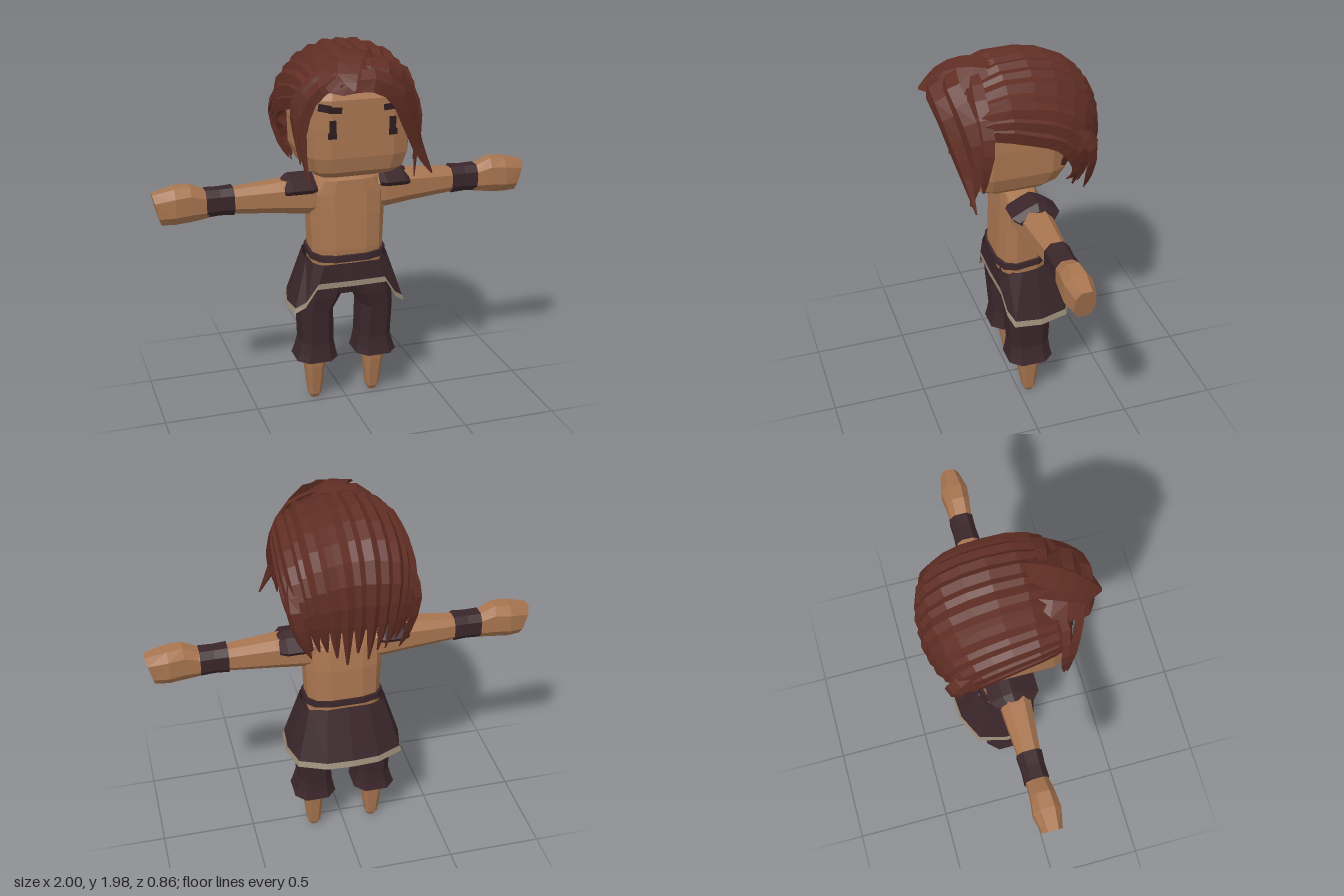
import * as THREE from 'three';

const V = (x, y, z) => new THREE.Vector3(x, y, z);
const mat = (name, color, side = THREE.FrontSide) => {
  const m = new THREE.MeshStandardMaterial({ color, side });
  m.name = name;
  return m;
};

// Faceted skin over a list of cross-sections; closed ones are turned outward by signed volume
function loft(rings, closed = true) {
  const tris = [], n = rings[0].length;
  for (let r = 0; r + 1 < rings.length; r++)
    for (let i = 0; i < (closed ? n : n - 1); i++) {
      const j = (i + 1) % n, a = rings[r], b = rings[r + 1];
      tris.push([a[i], a[j], b[j]], [a[i], b[j], b[i]]);
    }
  if (closed) {
    for (const [ring, flip] of [[rings[0], true], [rings[rings.length - 1], false]]) {
      const c = ring.reduce((s, p) => s.add(p), V(0, 0, 0)).divideScalar(n);
      ring.forEach((p, i) => {
        const q = ring[(i + 1) % n];
        tris.push(flip ? [c, q, p] : [c, p, q]);
      });
    }
    const o = rings[0][0];
    const vol = tris.reduce((s, [a, b, c]) =>
      s + a.clone().sub(o).dot(b.clone().sub(o).cross(c.clone().sub(o))), 0);
    if (vol < 0) tris.forEach(t => t.reverse());
  }
  const g = new THREE.BufferGeometry().setFromPoints(tris.flat());
  g.computeVertexNormals();
  return g;
}

// Rounded-square outline: unit points for n sides
function outline(n, e) {
  const k = Math.cos(Math.PI / n) ** e;
  return Array.from({ length: n }, (_, i) => {
    const a = (i + 0.5) * 2 * Math.PI / n, f = v => Math.sign(v) * Math.abs(v) ** e / k;
    return [f(Math.cos(a)), f(Math.sin(a))];
  });
}
// Horizontal section [y, centre x, half width, front z, back z], optionally rising to the back
const ringY = (n, e, tilt = 0) => ([y, cx, hx, zf, zb]) => outline(n, e).map(([u, v]) => {
  const z = (zf + zb) / 2 + v * (zf - zb) / 2;
  return V(cx + u * hx, y + tilt * (zf - z), z);
});
// Section across an arm [x, bottom y, top y, back z, front z, slant]
const ringX = s => ([x, y0, y1, z0, z1, slant = 0]) => outline(8, 0.75).map(([u, v]) => {
  const dy = v * (y1 - y0) / 2;
  return V(s * (x + slant * dy), (y0 + y1) / 2 + dy, (z0 + z1) / 2 + u * (z1 - z0) / 2);
});

export function createModel() {
  const root = new THREE.Group();
  root.name = 'figure';
  const skin = mat('skin', 0xa87550);
  const hair = mat('hair', 0x602e24, THREE.DoubleSide);
  const cloth = mat('darkCloth', 0x3a262a, THREE.DoubleSide);
  const trimMat = mat('trim', 0x978a76, THREE.DoubleSide);
  const ink = mat('eyeDark', 0x2e1d1f);
  const add = (name, g, m, parent = root) => {
    const mesh = new THREE.Mesh(g, m);
    mesh.name = name;
    parent.add(mesh);
    return mesh;
  };

  // Head and body
  add('head', loft([
    [1.305, 0, 0.13, 0.1, -0.1], [1.335, 0, 0.2, 0.2, -0.16], [1.375, 0, 0.245, 0.255, -0.2],
    [1.45, 0, 0.272, 0.27, -0.24], [1.6, 0, 0.275, 0.27, -0.25], [1.74, 0, 0.265, 0.268, -0.25],
    [1.81, 0, 0.23, 0.225, -0.22], [1.87, 0, 0.15, 0.13, -0.14],
  ].map(ringY(12, 0.4))), skin);
  add('torso', loft([
    [0.8, 0, 0.19, 0.09, -0.165], [0.9, 0, 0.192, 0.095, -0.165], [1.08, 0, 0.2, 0.085, -0.155],
    [1.2, 0, 0.205, 0.075, -0.135], [1.27, 0, 0.16, 0.07, -0.11], [1.29, 0, 0.08, 0.05, -0.09],
    [1.33, 0, 0.075, 0.045, -0.085],
  ].map(ringY(12, 0.65))), skin);

  // Eyes and brows
  for (const s of [-1, 1]) {
    const plate = (name, w, h, x, y, z, turn, tilt) => {
      const m = add(name, new THREE.BoxGeometry(w, h, 0.009), ink);
      m.position.set(s * x, y, z);
      m.rotation.set(0, s * turn, s * tilt);
    };
    plate('eye', 0.032, 0.09, 0.153, 1.6, 0.271, 0.08, 0);
    plate('lowerEye', 0.042, 0.03, 0.155, 1.568, 0.271, 0.12, 0);
    plate('brow', 0.065, 0.03, 0.14, 1.695, 0.271, 0, 0.08);
    plate('browEnd', 0.065, 0.036, 0.19, 1.705, 0.259, 0.41, 0.15);
  }

  // Arms, hands, wristbands, shoulder pads and legs
  for (const s of [-1, 1]) {
    const side = s > 0 ? 'left' : 'right';
    add(side + 'Arm', loft([
      [0.1, 1.09, 1.265, -0.12, 0.05], [0.21, 1.09, 1.275, -0.12, 0.05], [0.35, 1.105, 1.27, -0.115, 0.035],
      [0.6, 1.125, 1.25, -0.1, 0.01], [0.74, 1.13, 1.25, -0.1, 0.01],
    ].map(ringX(s))), skin);
    add(side + 'Hand', loft([
      [0.72, 1.115, 1.25, -0.095, 0.01], [0.81, 1.105, 1.29, -0.1, 0.022],
      [0.89, 1.1, 1.285, -0.11, 0.03], [0.98, 1.1, 1.26, -0.09, 0.01, 0.25],
    ].map(ringX(s))), skin);
    add(side + 'Wristband', loft([
      [0.59, 1.118, 1.262, -0.108, 0.018], [0.66, 1.122, 1.258, -0.104, 0.014], [0.732, 1.118, 1.26, -0.106, 0.016],
    ].map(ringX(s))), cloth);

    const pad = [[0.085, 1.24], [0, 1.285], [-0.05, 1.305], [-0.1, 1.285], [-0.165, 1.235],
      [-0.15, 1.212], [-0.05, 1.255], [0.065, 1.215]];
    add(side + 'ShoulderPad', loft([[0.17, 0.85, -0.005], [0.2, 1, 0], [0.3, 1, 0], [0.335, 0.75, -0.018]]
      .map(([x, k, dy]) => pad.map(([z, y]) => V(s * x, 1.265 + (y - 1.265) * k + dy, -0.04 + (z + 0.04) * k)))), cloth);

    add(side + 'TrouserLeg', loft([
      [0.72, s * 0.118, 0.108, 0.08, -0.165], [0.63, s * 0.14, 0.105, 0.08, -0.165],
      [0.55, s * 0.166, 0.087, 0.07, -0.16], [0.36, s * 0.16, 0.087, 0.055, -0.155],
      [0.3, s * 0.163, 0.1, 0.062, -0.162], [0.26, s * 0.165, 0.112, 0.07, -0.172],
    ].map(ringY(8, 0.7))), cloth);
    add(side + 'Foot', loft([
      [0.3, s * 0.166, 0.06, 0.015, -0.12], [0.2, s * 0.166, 0.053, 0.005, -0.11],
      [0.025, s * 0.165, 0.034, -0.025, -0.09], [0, s * 0.165, 0.02, -0.04, -0.08],
    ].map(ringY(8, 0.7))), skin);
  }
  add('trouserHips', loft([
    [0.82, 0, 0.195, 0.085, -0.165], [0.72, 0, 0.215, 0.085, -0.17], [0.645, 0, 0.14, 0.06, -0.14],
  ].map(ringY(8, 0.7))), cloth);

  // Belt and open-fronted skirt with a pale hem: [top x, y, z, hem x, y, z] from front to back
  add('belt', loft([
    [0.838, 0, 0.205, 0.108, -0.18], [0.872, 0, 0.205, 0.106, -0.178],
  ].map(ringY(12, 0.65, 0.13))), cloth);
  const half = [
    [0, 0.83, 0.105, 0, 0.7, 0.11], [0.15, 0.83, 0.102, 0.19, 0.7, 0.105],
    [0.2, 0.835, 0.07, 0.25, 0.6, 0.09], [0.22, 0.84, 0, 0.305, 0.56, 0.065],
    [0.22, 0.85, -0.08, 0.315, 0.552, -0.08], [0.2, 0.86, -0.15, 0.28, 0.56, -0.23],
    [0.11, 0.87, -0.19, 0.14, 0.568, -0.3], [0, 0.875, -0.195, 0, 0.572, -0.312],
  ];
  const loop = [...half, ...half.slice(1, -1).reverse().map(([a, b, c, d, e, f]) => [-a, b, c, -d, e, f])];
  loop.push(loop[0]);
  const row = drop => loop.map(([a, b, c, d, e, f]) => V(a, b, c).lerp(V(d, e, f), 1 - drop / (b - e)));
  add('skirt', loft([row(0.13), row(0.03)].map((r, i) =>
    i ? r : loop.map(([a, b, c]) => V(a, b, c))), false), cloth);
  add('skirtTrim', loft([row(0.03), row(0)], false), trimMat);

  // Hair: tapering diamond-section locks lying over the head
  const hairGroup = new THREE.Group();
  hairGroup.name = 'hair';
  root.add(hairGroup);
  let seed = 7;
  const rand = () => (seed = (seed * 16807) % 2147483647) / 2147483647 - 0.5;
  const centre = V(0, 1.6, -0.05);
  const lock = (name, pts, width, thick, steps, start = 0.7) => {
    const curve = new THREE.CatmullRomCurve3(pts), rings = [];
    for (let i = 0; i <= steps; i++) {
      const t = i / steps, p = curve.getPoint(t), T = curve.getTangent(t);
      const B = T.clone().cross(p.clone().sub(centre)).normalize(), N = B.clone().cross(T);
      const k = Math.min(1, start + t * 2) * (t > 0.6 ? Math.max(0.04, (1 - t) / 0.4) ** 0.7 : 1);
      rings.push([[width, 0], [0, thick], [-width, 0], [0, -thick]].map(([b, n]) =>
        p.clone().addScaledVector(B, b * k).addScaledVector(N, n * k)));
    }
    add(name, loft(rings), hair, hairGroup);
  };

  // Sweep from brow to nape: [crown z, crown y, side z, side y, half width]
  const keys = [
    [0.25, 1.85, 0.22, 1.72, 0.27], [0.13, 1.93, 0.12, 1.73, 0.295], [-0.08, 1.95, -0.04, 1.69, 0.31],
    [-0.25, 1.9, -0.15, 1.65, 0.315], [-0.365, 1.8, -0.22, 1.58, 0.305], [-0.41, 1.64, -0.25, 1.5, 0.285],
    [-0.4, 1.47, -0.245, 1.42, 0.265], [-0.37, 1.31, -0.22, 1.34, 0.23],
  ];
  const sweep = ([zc, yc, zs, ys, hx], a) => {
    const c = Math.cos(a);
    return V(hx * Math.sin(a), ys + (yc - ys) * c, zs + (zc - zs) * c);
  };
  const N = 15;
  for (let i = 0; i < N; i++) {
    const a = (i / (N - 1) - 0.5) * Math.PI, lift = 1 + rand() * 0.03, tip = rand() * 0.09;
    const pts = keys.map((k, j) => {
      const p = sweep(k, a).sub(centre).multiplyScalar(lift).add(centre);
      if (j === 7) p.y += tip;
      return p;
    });
    lock('sweptLock', pts, 0.054, 0.027, 11);
  }
  // Underlayer closing the gaps
  add('hairCap', loft(keys.slice(0, 7).map(k => Array.from({ length: 13 }, (_, i) =>
    sweep(k, (i / 12 - 0.5) * Math.PI).sub(centre).multiplyScalar(0.98).add(centre))), false), hair, hairGroup);
  // Extra locks at the sides of the nape
  for (const s of [-1, 1])
    for (const [z, y] of [[-0.21, 1.42], [-0.27, 1.33], [-0.33, 1.3]])
      lock('napeLock', [V(s * 0.3, 1.68, z + 0.08), V(s * 0.305, 1.58, z), V(s * 0.26, y + 0.1, z), V(s * 0.22, y, z + 0.01)], 0.045, 0.02, 6);

  // Fringe and loose face locks
  lock('fringeTuft', [V(0.06, 1.93, 0.12), V(0, 1.92, 0.25), V(-0.06, 1.865, 0.36), V(-0.09, 1.82, 0.43)], 0.11, 0.03, 6);
  lock('fringeTuft', [V(-0.1, 1.91, 0.12), V(-0.14, 1.89, 0.24), V(-0.13, 1.84, 0.34), V(-0.08, 1.81, 0.4)], 0.08, 0.03, 6);
  lock('fringeSweep', [V(-0.14, 1.83, 0.35), V(0, 1.86, 0.385), V(0.13, 1.79, 0.37), V(0.22, 1.63, 0.33),
    V(0.28, 1.48, 0.3), V(0.36, 1.34, 0.28)], 0.06, 0.025, 9);
  lock('fringeSweep', [V(-0.06, 1.9, 0.29), V(0.1, 1.88, 0.32), V(0.22, 1.75, 0.28), V(0.28, 1.56, 0.25),
    V(0.265, 1.33, 0.28)], 0.062, 0.025, 8);
  lock('fringeSweep', [V(0.05, 1.92, 0.2), V(0.2, 1.85, 0.22), V(0.29, 1.7, 0.21), V(0.305, 1.55, 0.22),
    V(0.28, 1.4, 0.22)], 0.05, 0.025, 8);
  lock('rightFaceLock', [V(-0.02, 1.89, 0.3), V(-0.15, 1.86, 0.31), V(-0.265, 1.75, 0.26), V(-0.3, 1.58, 0.23),
    V(-0.265, 1.32, 0.24)], 0.042, 0.022, 8);
  lock('rightFaceLock', [V(-0.1, 1.9, 0.2), V(-0.24, 1.83, 0.22), V(-0.315, 1.72, 0.2), V(-0.315, 1.58, 0.2),
    V(-0.3, 1.42, 0.21)], 0.035, 0.02, 8);
  return root;
}
